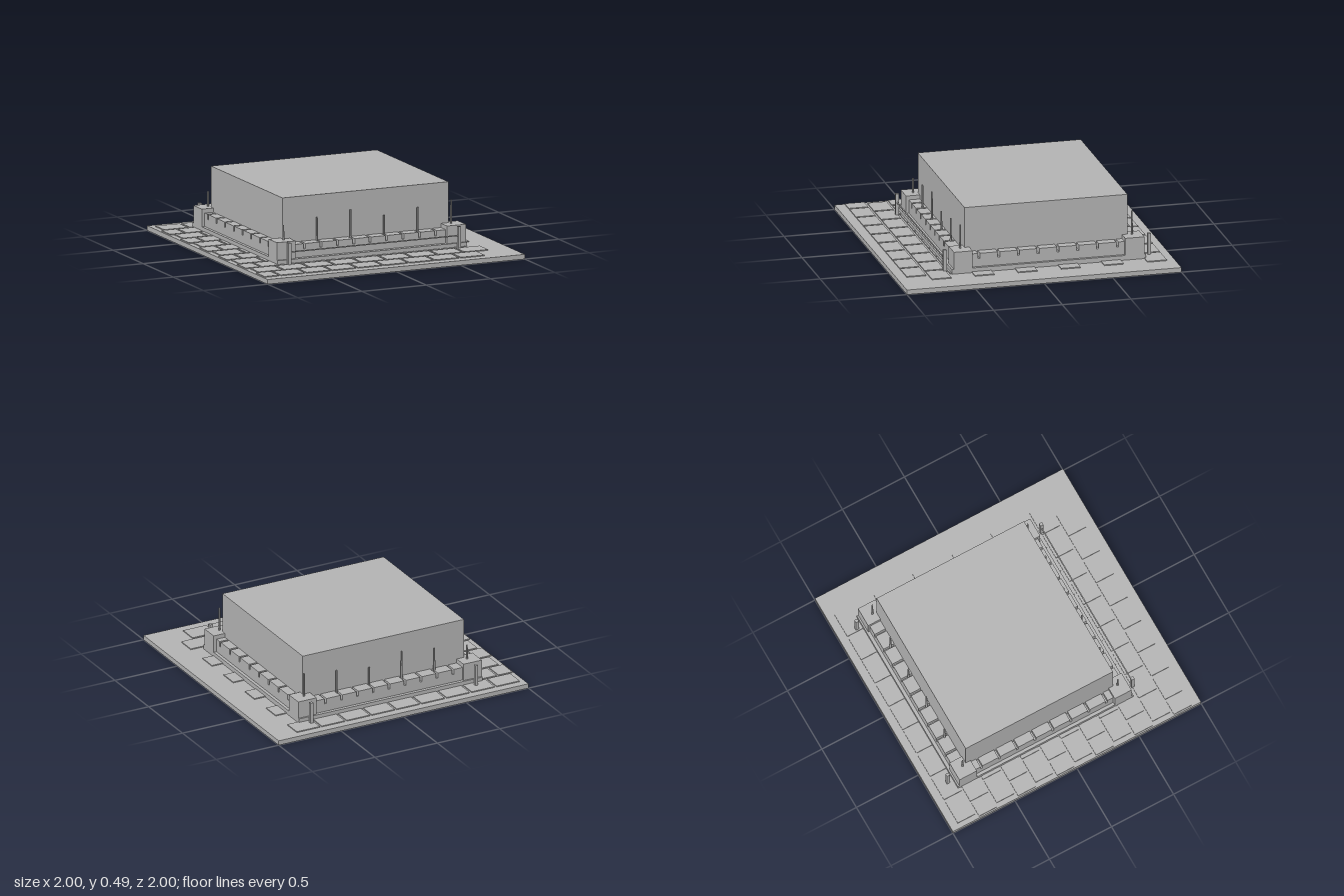
import * as THREE from 'three';

export function createModel() {
  const group = new THREE.Group();
  group.name = 'walledCourtyard';
  const stone = new THREE.MeshStandardMaterial({ color: 0xb3b3b3 });
  stone.name = 'stone grey';

  // Box given by its minimum and maximum on each axis
  const box = (name, x0, x1, y0, y1, z0, z1) => {
    const mesh = new THREE.Mesh(new THREE.BoxGeometry(x1 - x0, y1 - y0, z1 - z0), stone);
    mesh.position.set((x0 + x1) / 2, (y0 + y1) / 2, (z0 + z1) / 2);
    mesh.name = name;
    group.add(mesh);
    return mesh;
  };

  // Ground slab and main block
  box('groundSlab', -1, 1, 0, 0.034, -1, 1);
  box('mainBlock', -0.645, 0.645, 0.03, 0.49, -0.70, 0.487);

  // Staggered paving stones
  const pitchX = 0.2, pitchZ = 0.157, joint = 0.008;
  for (let row = 0; row < 12; row++) {
    const z = -0.948 + row * pitchZ;
    const end = row % 2 === 0 ? 0.83 : 0.73;
    for (let col = 0; col < 9; col++) {
      const right = end - col * pitchX;
      const left = Math.max(right - pitchX, -0.998);
      box('pavingStone', left + joint, right - joint, 0.03, 0.041, z + joint, z + pitchZ - joint);
    }
  }

  // Plinth and wall body
  box('plinth', -0.735, 0.735, 0.03, 0.068, -0.812, 0.602);
  box('wallBody', -0.712, 0.712, 0.03, 0.127, -0.787, 0.567);

  // Battlements along front and back
  const gap = 0.008;
  for (const [z0, z1] of [[0.487, 0.567], [-0.787, -0.70]]) {
    for (let i = -5; i < 5; i++) {
      const x0 = Math.max(i * 0.1275 + gap, -0.6);
      const x1 = Math.min((i + 1) * 0.1275 - gap, 0.6);
      box('merlon', x0, x1, 0.12, 0.165, z0, z1);
    }
  }

  // Battlements along both sides
  for (const side of [-1, 1]) {
    for (let i = 0; i < 9; i++) {
      const z0 = Math.max(-0.753 + i * 0.144 + gap, -0.67);
      const z1 = Math.min(-0.753 + (i + 1) * 0.144 - gap, 0.46);
      box('sideMerlon', Math.min(side * 0.64, side * 0.712), Math.max(side * 0.64, side * 0.712),
        0.12, 0.165, z0, z1);
    }
  }

  // Corner towers and free-standing posts
  for (const side of [-1, 1]) {
    const xs = [side * 0.588, side * 0.735].sort((a, b) => a - b);
    box('cornerTower', xs[0], xs[1], 0.03, 0.195, 0.452, 0.587);
    box('cornerTower', xs[0], xs[1], 0.03, 0.195, -0.80, -0.66);
    for (const z of [0.635, -0.853]) {
      box('post', side * 0.66 - 0.011, side * 0.66 + 0.011, 0.03, 0.196, z - 0.012, z + 0.012);
    }
  }

  // Rail between the front posts
  box('frontRail', -0.65, 0.65, 0.126, 0.134, 0.631, 0.639);

  // Slender poles rising from the front and back walls
  const tops = [0.302, 0.335, 0.367];
  for (const z of [0.52, -0.73]) {
    for (let i = 0; i < 6; i++) {
      const height = tops[i % 3] - 0.12;
      const pole = new THREE.Mesh(new THREE.CylinderGeometry(0.006, 0.008, height, 6), stone);
      pole.position.set(-0.653 + i * 0.261, 0.12 + height / 2, z);
      pole.name = 'pole';
      group.add(pole);
    }
  }
  return group;
}
